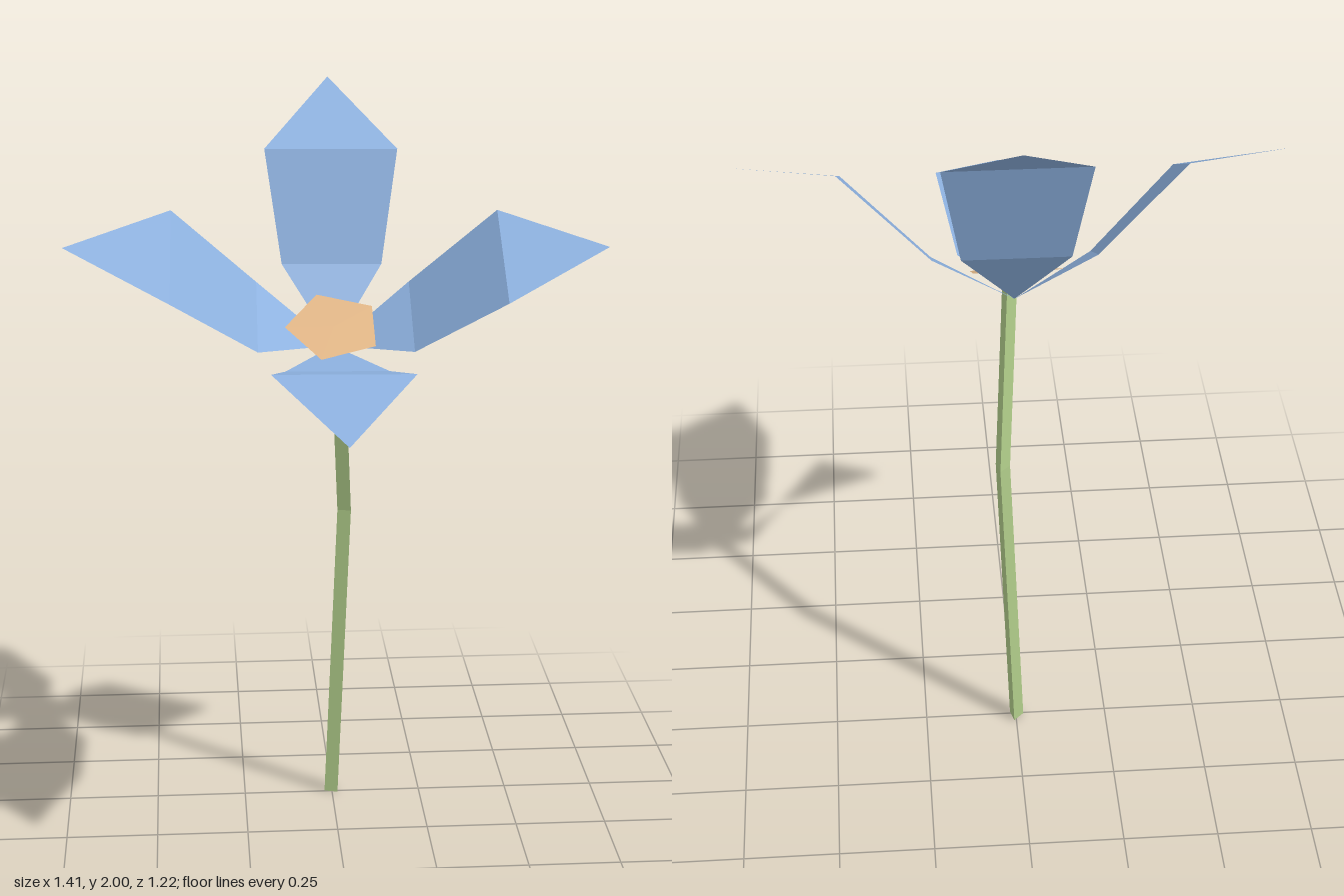
import * as THREE from 'three';

const make = (name, color) => {
  const m = new THREE.MeshStandardMaterial({ color, flatShading: true, side: THREE.DoubleSide });
  m.name = name;
  return m;
};

// Folded petal pointing along +z: pointed base, two cross creases, pointed tip
function petalGeometry() {
  const sections = [[0, -0.018, 0], [0.135, 0.09, 0.205], [0.18, 0.304, 0.43], [0, 0.334, 0.705]]; // half width, height, reach
  const points = [];
  for (const [w, y, z] of sections) {
    if (w) points.push(-w, y, z, w, y, z);
    else points.push(0, y, z);
  }
  const indexed = new THREE.BufferGeometry();
  indexed.setAttribute('position', new THREE.Float32BufferAttribute(points, 3));
  indexed.setIndex([0, 1, 2, 1, 3, 4, 1, 4, 2, 3, 5, 4]);
  const g = indexed.toNonIndexed();
  g.computeVertexNormals();
  return g;
}

// Three-sided stem with one bend: each ring is moved onto its path point
function stemGeometry() {
  const path = [[0, 0, -0.258], [0.036, 0.86, -0.239], [0.01, 1.38, -0.133]];
  const g = new THREE.CylinderGeometry(0.022, 0.022, 2, 3, 2, false, Math.PI / 4);
  const p = g.attributes.position;
  for (let i = 0; i < p.count; i++) {
    const [x, y, z] = path[Math.round(p.getY(i)) + 1];
    p.setXYZ(i, p.getX(i) + x, y, p.getZ(i) + z);
  }
  g.computeVertexNormals();
  return g;
}

export function createModel() {
  const blue = make('petal blue', 0x8cb0de);
  const tan = make('centre tan', 0xe0b585);
  const green = make('stem green', 0xaeca88);

  const model = new THREE.Group();
  model.name = 'flower';

  const stem = new THREE.Mesh(stemGeometry(), green);
  stem.name = 'stem';
  model.add(stem);

  // Blossom leans forward
  const blossom = new THREE.Group();
  blossom.name = 'blossom';
  blossom.position.set(0, 1.3575, -0.17);
  blossom.rotation.x = Math.PI / 6;
  model.add(blossom);

  // Four petals, turned very slightly off the axes
  const petalShape = petalGeometry();
  ['frontPetal', 'leftPetal', 'backPetal', 'rightPetal'].forEach((name, i) => {
    const petal = new THREE.Mesh(petalShape, blue);
    petal.name = name;
    petal.rotation.y = i * Math.PI / 2 - 0.018;
    blossom.add(petal);
  });

  // Flat five-sided centre
  const disc = new THREE.CircleGeometry(0.131, 5, Math.PI);
  disc.rotateX(-Math.PI / 2);
  const centre = new THREE.Mesh(disc, tan);
  centre.name = 'flowerCentre';
  centre.position.y = 0.053;
  blossom.add(centre);

  return model;
}
